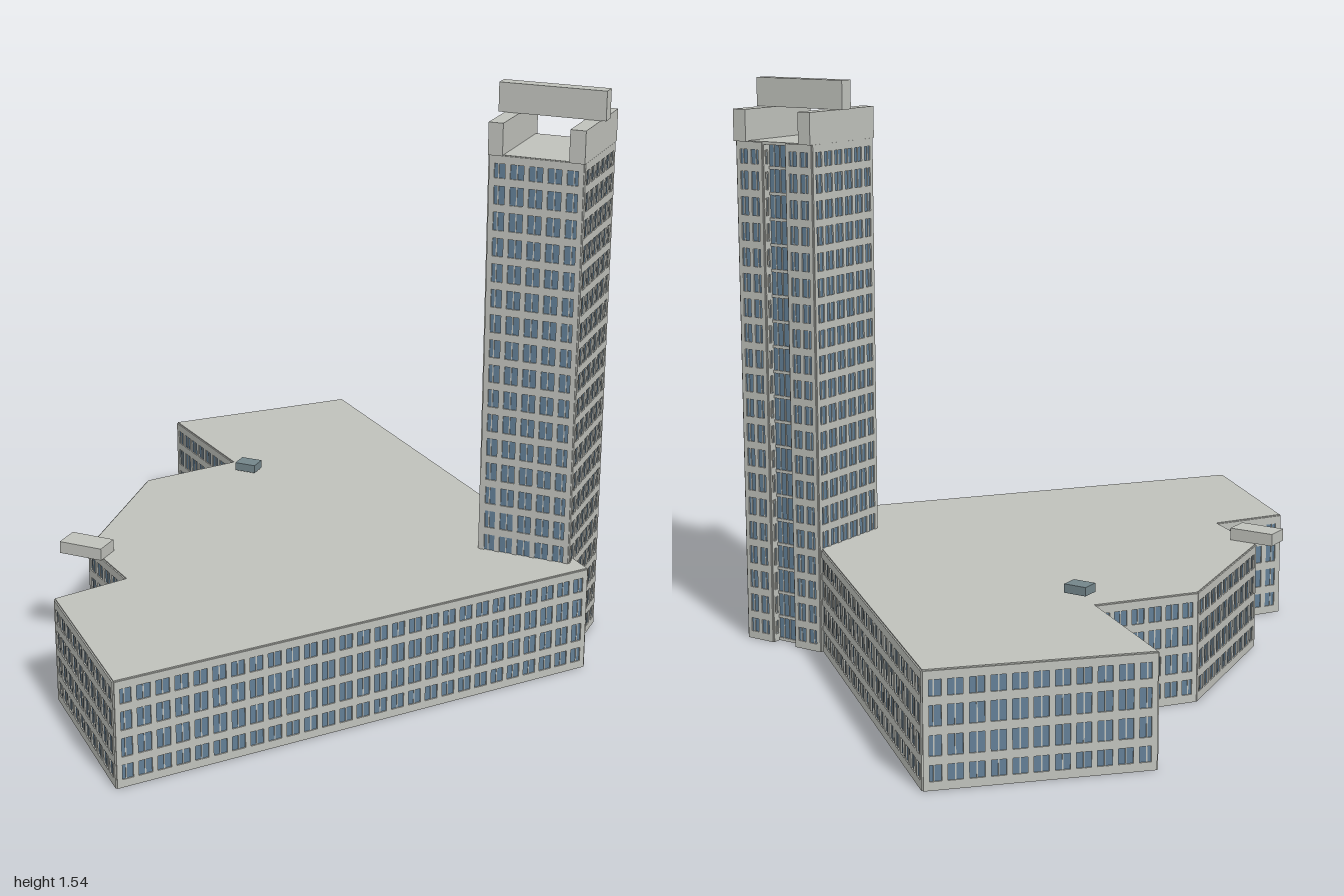
import * as THREE from 'three';
import { mergeGeometries } from 'three/addons/utils/BufferGeometryUtils.js';

const concrete = new THREE.MeshStandardMaterial({ color: 0xbfc1bb, side: THREE.DoubleSide });
concrete.name = 'pale concrete';
const glass = new THREE.MeshStandardMaterial({ color: 0x627e95, side: THREE.DoubleSide });
glass.name = 'blue glass';
const plant = new THREE.MeshStandardMaterial({ color: 0x73858a });
plant.name = 'grey teal';

const PODIUM_H = 0.285, TOWER_H = 1.375;

function mesh(name, geometry, material) {
  const m = new THREE.Mesh(geometry, material);
  m.name = name;
  return m;
}

// Box given by its min and max corners
function block(name, x0, x1, y0, y1, z0, z1, material = concrete) {
  const g = new THREE.BoxGeometry(x1 - x0, y1 - y0, z1 - z0);
  g.translate((x0 + x1) / 2, (y0 + y1) / 2, (z0 + z1) / 2);
  return mesh(name, g, material);
}

// Thin curtain wall from a to b: one glass sheet with concrete piers and floor bands
function facade(name, a, b, height, rows, cols, pierShare = 0.28, bandShare = 0.3) {
  const dx = b[0] - a[0], dz = b[1] - a[1];
  const length = Math.hypot(dx, dz);
  const pier = (length / cols) * pierShare, band = (height / rows) * bandShare;
  const depth = 0.007, parts = [];
  for (let i = 0; i <= cols; i++) {
    const x = THREE.MathUtils.clamp((i * length) / cols, pier / 2, length - pier / 2);
    parts.push(new THREE.BoxGeometry(pier, height, depth).translate(x, height / 2, 0));
  }
  for (let r = 0; r <= rows; r++) {
    const y = THREE.MathUtils.clamp((r * height) / rows, band / 2, height - band / 2);
    parts.push(new THREE.BoxGeometry(length, band, depth).translate(length / 2, y, 0));
  }
  // slim central glazing bar in every bay
  for (let i = 0; i < cols; i++) {
    const bar = new THREE.BoxGeometry(0.003, height, 0.004);
    parts.push(bar.translate(((i + 0.5) * length) / cols, height / 2, 0));
  }
  const wall = new THREE.Group();
  wall.name = name;
  wall.add(mesh('wallGrid', mergeGeometries(parts), concrete));
  const sheet = new THREE.PlaneGeometry(length, height).translate(length / 2, height / 2, 0);
  wall.add(mesh('windows', sheet, glass));
  wall.position.set(a[0], 0, a[1]);
  wall.rotation.y = Math.atan2(-dz, dx);
  return wall;
}

// Flat roof slab over a plan outline, top at y
function roof(name, outline, y) {
  const shape = new THREE.Shape(outline.map(([x, z]) => new THREE.Vector2(x, -z)));
  const g = new THREE.ExtrudeGeometry(shape, { depth: 0.008, bevelEnabled: false });
  g.rotateX(-Math.PI / 2).translate(0, y - 0.008, 0);
  return mesh(name, g, concrete);
}

function createPodium() {
  const podium = new THREE.Group();
  podium.name = 'podium';
  const outline = [
    [-0.36, -0.997], [-0.745, -0.6], [-0.44, -0.37], [-0.605, -0.14], [-0.53, 0.34],
    [-0.34, 0.48], [-0.45, 0.66], [-0.095, 0.997], [0.742, -0.065],
  ];
  outline.forEach((a, i) => {
    const b = outline[(i + 1) % outline.length];
    const cols = Math.max(2, Math.round(Math.hypot(b[0] - a[0], b[1] - a[1]) / 0.05));
    podium.add(facade('podiumWall', a, b, PODIUM_H, 4, cols));
  });
  podium.add(roof('podiumRoof', outline, PODIUM_H + 0.003));
  // entrance canopy and rooftop plant box
  podium.add(block('canopy', -0.58, -0.455, 0.289, 0.322, 0.34, 0.41));
  podium.add(block('roofPlant', -0.4, -0.338, 0.296, 0.319, -0.345, -0.297, plant));
  return podium;
}

function createTower() {
  const tower = new THREE.Group();
  tower.name = 'tower';
  const x0 = 0.438, x1 = 0.687, z0 = -0.335, z1 = -0.073, floors = 20;
  const n0 = 0.523, n1 = 0.602, nz = z0 + 0.025;
  const wall = (name, a, b, cols, ...shares) =>
    tower.add(facade(name, a, b, TOWER_H, floors, cols, ...shares));
  wall('frontWall', [x0, z1], [x1, z1], 5);
  wall('rightWall', [x1, z1], [x1, z0], 6);
  wall('leftWall', [x0, z0], [x0, z1], 6);
  // back wall with a recessed glazed strip
  wall('backWall', [x1, z0], [n1, z0], 2);
  wall('backWall', [n0, z0], [x0, z0], 2);
  wall('recessSide', [n1, z0], [n1, nz], 1);
  wall('recessSide', [n0, nz], [n0, z0], 1);
  wall('recessGlazing', [n1, nz], [n0, nz], 2, 0.08, 0.12);
  tower.add(roof('towerRoof', [[x0, z0], [x0, z1], [x1, z1], [x1, z0]], TOWER_H + 0.002));
  // two upstand beams carrying a crossing panel
  tower.add(block('roofBeam', 0.435, 0.474, TOWER_H, 1.46, -0.346, -0.066));
  tower.add(block('roofBeam', 0.649, 0.69, TOWER_H, 1.46, -0.346, -0.066));
  tower.add(block('roofPanel', 0.418, 0.704, 1.46, 1.537, -0.228, -0.19));
  return tower;
}

export function createModel() {
  const model = new THREE.Group();
  model.name = 'towerAndPodium';
  model.add(createPodium(), createTower());
  return model;
}
